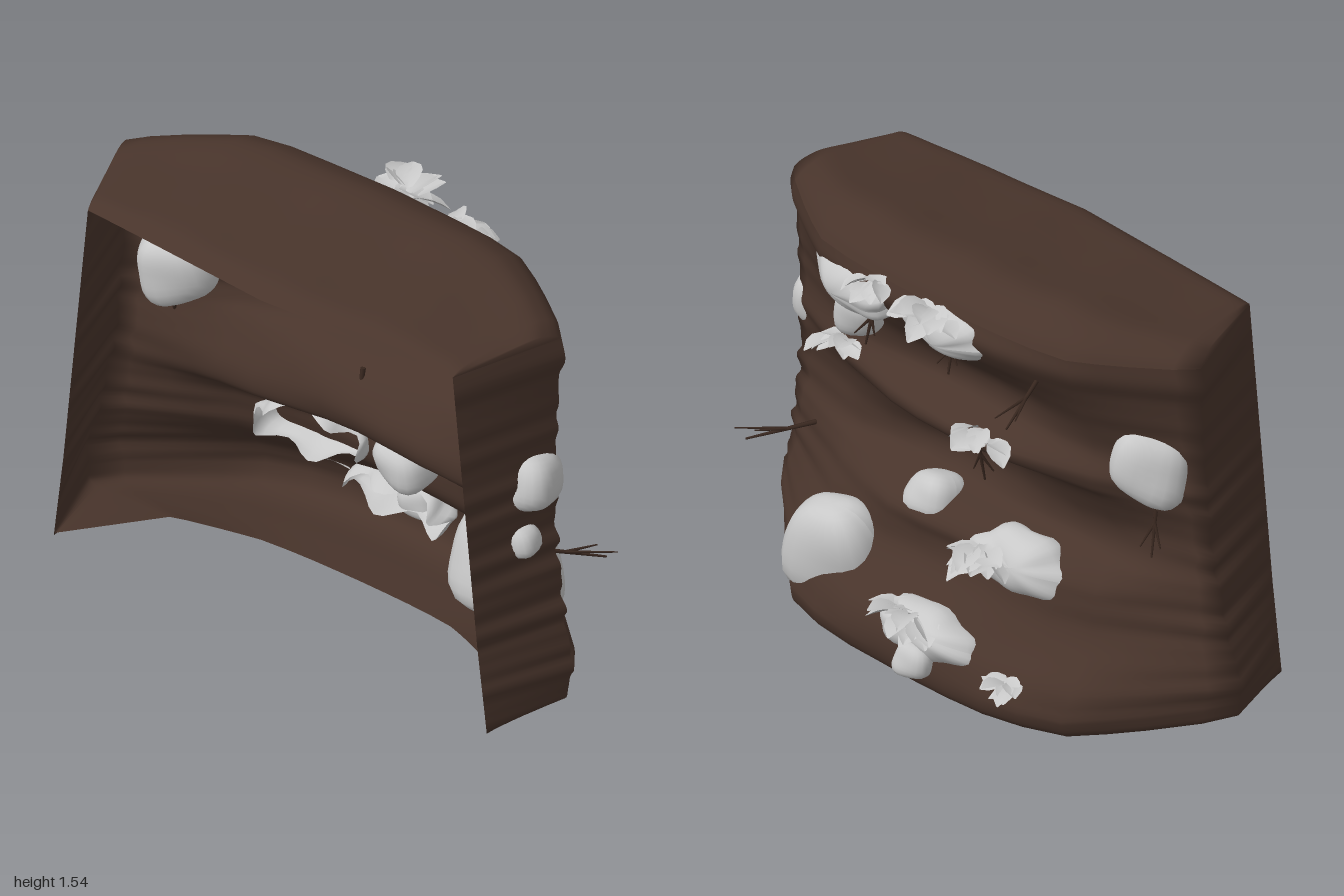
import * as THREE from 'three';

const mat = (name, color, side = THREE.FrontSide) => {
  const m = new THREE.MeshStandardMaterial({ color, side });
  m.name = name;
  return m;
};
const V = (x, y, z) => new THREE.Vector3(x, y, z);
const { lerp, clamp, smoothstep } = THREE.MathUtils;

// Repeatable random numbers
function seeded(seed) {
  return () => {
    seed = (seed * 16807) % 2147483647;
    return seed / 2147483647;
  };
}

// Smooth surface from a grid of points, rows[r][c]
function gridSurface(rows) {
  const n = rows[0].length, index = [];
  for (let r = 0; r < rows.length - 1; r++)
    for (let c = 0; c < n - 1; c++) {
      const a = r * n + c, b = a + 1, d = a + n, e = d + 1;
      index.push(a, b, d, b, e, d);
    }
  const g = new THREE.BufferGeometry().setFromPoints(rows.flat());
  g.setIndex(index);
  g.computeVertexNormals();
  return g;
}

// Cliff wall: half width, height and back depth, from the inner bottom lip to the rim
const profile = new THREE.CatmullRomCurve3([
  [.65, .012, -.05], [.82, .006, -.17], [.95, .003, -.31], [.98, .03, -.37], [.99, .1, -.39],
  [1, .2, -.36], [.98, .27, -.28], [.96, .36, -.2], [.95, .44, -.18], [.94, .5, -.18],
  [.93, .56, -.12], [.92, .61, -.02], [.91, .68, 0], [.9, .76, -.03], [.9, .84, -.1],
  [.9, .89, -.19], [.9, .94, -.2], [.89, 1.02, -.1], [.89, 1.1, -.1], [.89, 1.2, -.17],
  [.89, 1.29, -.24], [.91, 1.37, -.28], [.89, 1.43, -.26],
].map(p => V(...p)));

// Plan of the wall: share of the width, share of the depth, pull to the open front
const half = [[1, 0, 1], [1, 0, 0], [.93, .2, 0], [.8, .47, 0], [.7, .66, 0], [.6, .83, 0],
  [.45, .92, 0], [.3, .97, 0], [.15, .99, 0]];
const plan = [...half, [0, 1, 0], ...half.slice().reverse().map(([k, t, f]) => [-k, t, f])];

// Depth of the wall without its ledges, which fade towards the sides
const plainDepth = y => y < .7
  ? -.02 - .36 * Math.pow((.7 - y) / .6, 1.5)
  : -.02 - .25 * Math.pow((y - .7) / .7, 1.2);

function wallRows() {
  return profile.getPoints(100).map((p, r) => {
    const mid = Math.sin(Math.PI * r / 100);
    return plan.map(([k, t, f]) => {
      const frontX = .89 - .14 * p.y / 1.43;
      const ripple = (.008 * Math.sin(p.y * 48) + .006 * Math.sin(p.y * 75 + 1)) * mid;
      const x = lerp((p.x + ripple) * k, Math.sign(k) * frontX, f);
      const fade = p.y > .1 ? .65 * smoothstep(Math.abs(k), .2, .8) : 0;
      const backZ = lerp(p.z, plainDepth(p.y), fade) + .012 * Math.sin(x * 8 + p.y * 19) * mid;
      const z = lerp(lerp(lerp(.13, .04, p.y / 1.43), backZ, t), .43, f);
      const lift = .075 * (1 - t) * Math.max(0, 1 - p.y / .4);
      const y = p.y + lift + .012 * Math.sin(x * 4 + 1) * mid * (1 - f);
      return V(x, y, z);
    });
  });
}

// Top of the cliff, lofted from the rim to the straight front edge
function topRows(rim) {
  const rise = new THREE.SplineCurve([[0, 0], [.04, .04], [.12, .08], [.25, .105], [.5, .08],
    [.75, .06], [.92, .045], [1, .005]].map(p => new THREE.Vector2(...p)));
  return rise.getPoints(28).map(({ x: s, y: h }) => rim.map(p => {
    const frontX = clamp(p.x, -.75, .75);
    const frontZ = .48 - .05 * Math.abs(frontX) / .75;
    const dome = clamp((frontZ - p.z) / .65, 0, 1) * lerp(1, .5, Math.pow(Math.abs(p.x) / .9, 4));
    const bump = .012 * Math.cos(p.x * 15) * Math.sin(Math.PI * s);
    return V(lerp(p.x, frontX, s), p.y + (h + bump) * dome, lerp(p.z, frontZ, s));
  }));
}

// Boulder: a ball squared off by a rule and narrowed to the top
function boulderGeometry(seed, taper) {
  const rnd = seeded(seed), a = rnd() * 6, b = rnd() * 6;
  const g = new THREE.SphereGeometry(1, 24, 16), pos = g.attributes.position, v = V(0, 0, 0);
  for (let i = 0; i < pos.count; i++) {
    v.fromBufferAttribute(pos, i);
    const norm = Math.cbrt(Math.abs(v.x) ** 3 + Math.abs(v.y) ** 3 + Math.abs(v.z) ** 3);
    v.divideScalar(norm).multiplyScalar(.95 + .07 * Math.sin(v.x * 2.5 + a) * Math.cos(v.y * 2.5 + b));
    v.x *= 1 - taper * v.y;
    v.z *= 1 - taper * v.y;
    pos.setXYZ(i, v.x, v.y, v.z);
  }
  g.computeVertexNormals();
  return g;
}

// Open crust of stone facing the back, with a ragged rim
function crustGeometry(seed) {
  const g = new THREE.SphereGeometry(1, 36, 12, 0, Math.PI * 2, 0, Math.PI * .6);
  g.rotateX(-Math.PI / 2);
  const pos = g.attributes.position;
  for (let i = 0; i < pos.count; i++) {
    const x = pos.getX(i), y = pos.getY(i), z = pos.getZ(i), a = Math.atan2(y, x);
    const k = 1 + .07 * Math.sin(a * 3 + seed) + .05 * Math.sin(a * 7 + seed * 2);
    const rag = .5 * Math.max(0, z + .3) * Math.sin(a * 5 + seed * 3);
    pos.setXYZ(i, x * k, y * k, z * (1 + .1 * Math.sin(x * 5 + seed)) + rag);
  }
  g.computeVertexNormals();
  return g;
}

// Folded, drooping leaf along +z
function leafGeometry() {
  const g = new THREE.PlaneGeometry(1, 1, 2, 4), pos = g.attributes.position;
  const width = [.014, .035, .043, .034, .004];
  for (let i = 0; i < pos.count; i++) {
    const s = .5 - pos.getY(i), side = pos.getX(i) * 2;
    const w = width[Math.round(s * 4)];
    pos.setXYZ(i, side * w, Math.abs(side) * w * .35 - .03 * s * s, s * .115);
  }
  g.computeVertexNormals();
  return g;
}

export function createModel() {
  const model = new THREE.Group();
  const earth = mat('brown earth', 0x48342b, THREE.DoubleSide);
  const stone = mat('pale stone', 0xc8c8c8);
  const crustStone = mat('pale crust and leaf', 0xc8c8c8, THREE.DoubleSide);
  const bark = mat('dark bark', 0x38271f);
  const add = (name, geo, material, parent = model) => {
    const m = new THREE.Mesh(geo, material);
    m.name = name;
    parent.add(m);
    return m;
  };

  const wall = wallRows();
  add('cliffWall', gridSurface(wall), earth);
  add('cliffTop', gridSurface(topRows(wall[wall.length - 1])), earth);

  // Boulders: centre, half size, turn, tilt, taper
  [
    [-.71, 1, .01, .14, .135, .1, .5, .1, .05], [.84, .91, .14, .1, .11, .1, .2, -.15, .08],
    [.83, .71, .205, .085, .065, .06, .1, .1, .1], [.49, .25, -.18, .19, .2, .135, .1, -.25, .2],
    [.15, .55, -.085, .105, .085, .09, -.2, .3, .1], [.43, 1.18, -.14, .09, .1, .085, .3, -.3, .05],
    [-.03, .14, -.39, .07, .065, .055, .2, .1, .1],
  ].forEach(([x, y, z, a, b, c, turn, tilt, taper], i) => {
    const m = add('boulder', boulderGeometry(i * 31 + 7, taper), stone);
    m.position.set(x, y, z);
    m.scale.set(a, b, c);
    m.rotation.set(tilt, turn, turn * .4);
  });

  // Stone crusts on the ledges: centre, half size, tilt, turn
  [
    [.41, 1.32, -.18, .21, .095, .1, -.3, -.35], [-.04, 1.35, -.23, .19, .085, .085, -.3, 0],
    [-.26, .48, -.11, .21, .11, .1, .3, .15], [-.03, .2, -.3, .21, .095, .11, .45, 0],
  ].forEach(([x, y, z, a, b, c, tilt, turn], i) => {
    const m = add('stoneCrust', crustGeometry(i + 1), crustStone);
    m.position.set(x, y, z);
    m.scale.set(a, b, c);
    m.rotation.set(tilt, turn, 0);
  });

  // Leaf tufts: position, size, number of leaves
  const leaf = leafGeometry(), rnd = seeded(42);
  [
    [.27, 1.41, -.25, .8, 8], [-.02, 1.42, -.28, 1.05, 12], [.57, .98, -.07, .9, 9], [-.16, .96, -.18, .95, 10],
    [-.18, .53, -.19, 1.1, 12], [.01, .27, -.33, 1.05, 12], [-.4, .18, -.33, .8, 8],
  ].forEach(([x, y, z, size, count]) => {
    const tuft = new THREE.Group();
    tuft.name = 'leafTuft';
    tuft.position.set(x, y, z);
    tuft.scale.setScalar(size);
    for (let i = 0; i < count; i++) {
      const m = add('leaf', leaf, crustStone, tuft);
      m.rotation.order = 'YXZ';
      m.rotation.set(.25 - rnd() * .8, Math.PI + (i / (count - 1) - .5) * 2.7, (rnd() - .5) * .8);
      m.position.set((rnd() - .5) * .1, (rnd() - .5) * .05, -rnd() * .04);
    }
    model.add(tuft);
  });

  // Forked twigs: root and tip
  const stick = (a, b, r) => {
    const m = add('twig', new THREE.CylinderGeometry(r * .4, r, a.distanceTo(b), 6), bark);
    m.position.copy(a).lerp(b, .5);
    m.quaternion.setFromUnitVectors(V(0, 1, 0), b.clone().sub(a).normalize());
  };
  [
    [-.39, 1.3, -.17, -.46, 1.23, -.42], [-.01, .85, -.07, -.01, .65, -.03], [.75, .52, .02, .92, .46, -.16],
    [.31, 1.3, -.2, .33, 1.12, -.23], [-.72, .88, .02, -.74, .67, -.03], [-.05, 1.35, -.22, -.05, 1.18, -.25],
  ].forEach(([x, y, z, X, Y, Z]) => {
    const a = V(x, y, z), b = V(X, Y, Z), fork = a.clone().lerp(b, .45);
    stick(a, b, .009);
    stick(fork, b.clone().add(V(.04, .03, -.01)), .006);
    stick(fork, b.clone().add(V(-.03, .04, .01)), .006);
  });
  return model;
}
